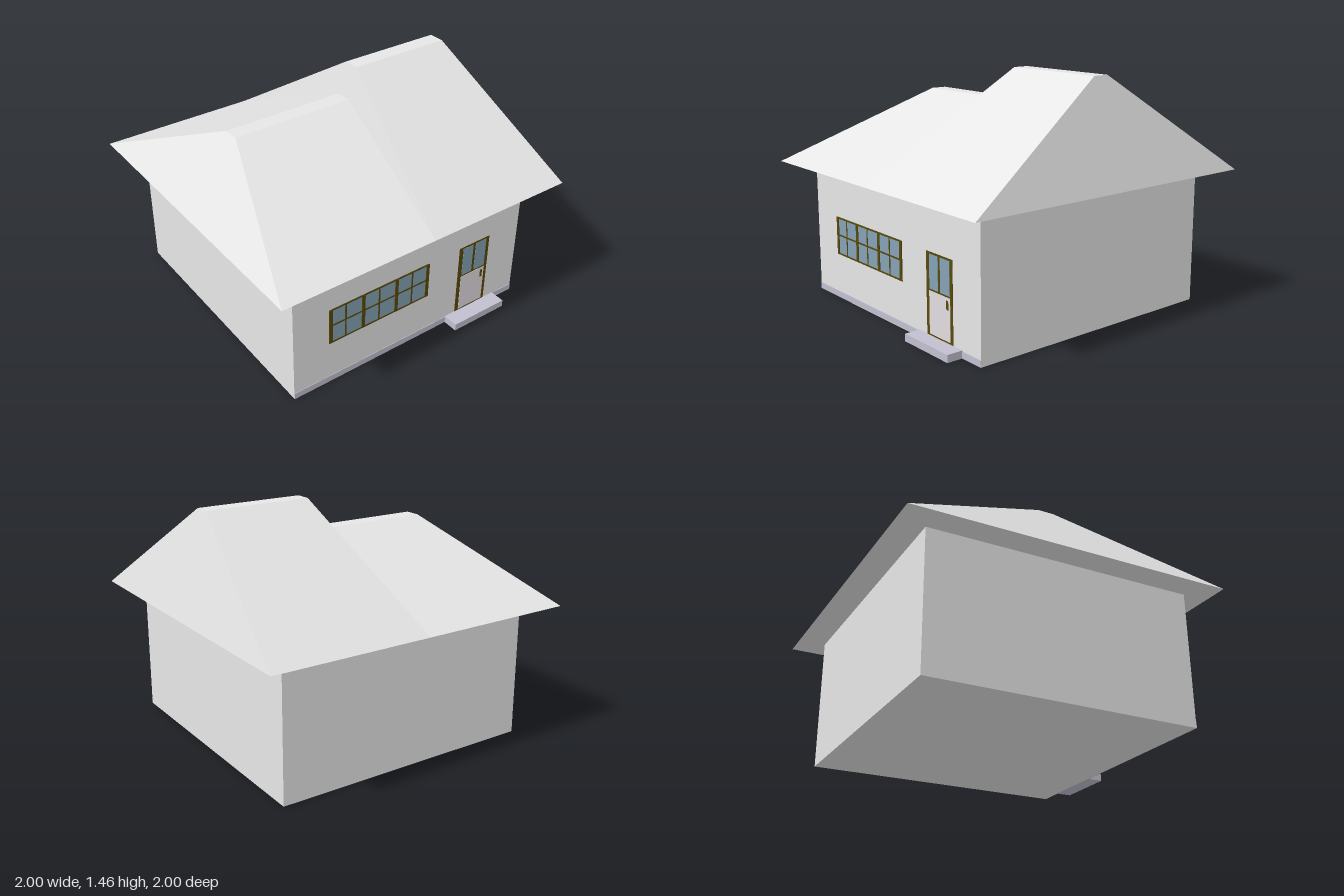
import * as THREE from 'three';

const mat = (name, color) => {
  const m = new THREE.MeshStandardMaterial({ color });
  m.name = name;
  return m;
};

export function createModel() {
  const house = new THREE.Group();
  house.name = 'house';
  const plaster = mat('plaster', 0xe6e6e6);
  const stone = mat('stone', 0xc2c0d0);
  const wood = mat('darkWood', 0x584808);
  const glass = mat('glass', 0x84a3b6);
  const paint = mat('doorPaint', 0xe2dce0);

  // Box given by its extents on each axis
  const box = (parent, name, m, x0, x1, y0, y1, z0, z1) => {
    const mesh = new THREE.Mesh(new THREE.BoxGeometry(x1 - x0, y1 - y0, z1 - z0), m);
    mesh.position.set((x0 + x1) / 2, (y0 + y1) / 2, (z0 + z1) / 2);
    mesh.name = name;
    parent.add(mesh);
  };

  // Hipped roof: a box whose top corners are drawn in to a narrow ridge
  const roof = (name, eave0, eave1, ridge0, ridge1, height) => {
    const geo = new THREE.BoxGeometry(2, 2, 2);
    const p = geo.attributes.position;
    for (let i = 0; i < p.count; i++) {
      const top = p.getY(i) > 0, right = p.getX(i) > 0;
      const x = top ? (right ? ridge1 : ridge0) : (right ? eave1 : eave0);
      p.setXYZ(i, x, top ? height : 0.835, p.getZ(i) * (top ? 0.05 : 1));
    }
    geo.computeVertexNormals();
    const mesh = new THREE.Mesh(geo, plaster);
    mesh.name = name;
    house.add(mesh);
  };

  // Body, plinth and doorstep
  const F = 0.838;
  box(house, 'walls', plaster, -0.835, 0.835, 0, 0.836, -0.83, F);
  box(house, 'plinth', stone, -0.835, 0.835, 0, 0.04, F - 0.002, F + 0.003);
  box(house, 'doorstep', stone, 0.28, 0.675, 0, 0.045, F - 0.004, 0.937);

  // Roofs
  roof('lowRoof', -1, 0.03, -0.67, 0.13, 1.26);
  roof('tallRoof', 0, 1, 0.165, 0.83, 1.457);

  // Thin plates layered on the front wall
  const plate = (parent, name, m, x0, x1, y0, y1, layer) =>
    box(parent, name, m, x0, x1, y0, y1, F - 0.002, F + 0.002 * layer);

  // Triple window
  const win = new THREE.Group();
  win.name = 'window';
  house.add(win);
  plate(win, 'windowGlass', glass, -0.59, 0.115, 0.29, 0.524, 1);
  for (const x of [-0.587, -0.361, -0.123, 0.108])
    plate(win, 'windowPost', wood, x - 0.011, x + 0.011, 0.287, 0.525, 3);
  for (const x of [-0.484, -0.248, -0.008])
    plate(win, 'windowMullion', wood, x - 0.005, x + 0.005, 0.29, 0.524, 2);
  for (const [y, h] of [[0.291, 0.005], [0.411, 0.005], [0.521, 0.005]])
    plate(win, 'windowRail', wood, -0.59, 0.112, y - h, y + h, 2);

  // Half-glazed door
  const door = new THREE.Group();
  door.name = 'door';
  house.add(door);
  plate(door, 'doorFrame', wood, 0.357, 0.596, 0.045, 0.525, 1);
  plate(door, 'doorPanel', paint, 0.384, 0.574, 0.055, 0.305, 2);
  plate(door, 'leftPane', glass, 0.387, 0.466, 0.316, 0.513, 2);
  plate(door, 'rightPane', glass, 0.486, 0.571, 0.316, 0.513, 2);
  plate(door, 'doorHandle', wood, 0.543, 0.559, 0.235, 0.288, 3);

  return house;
}
